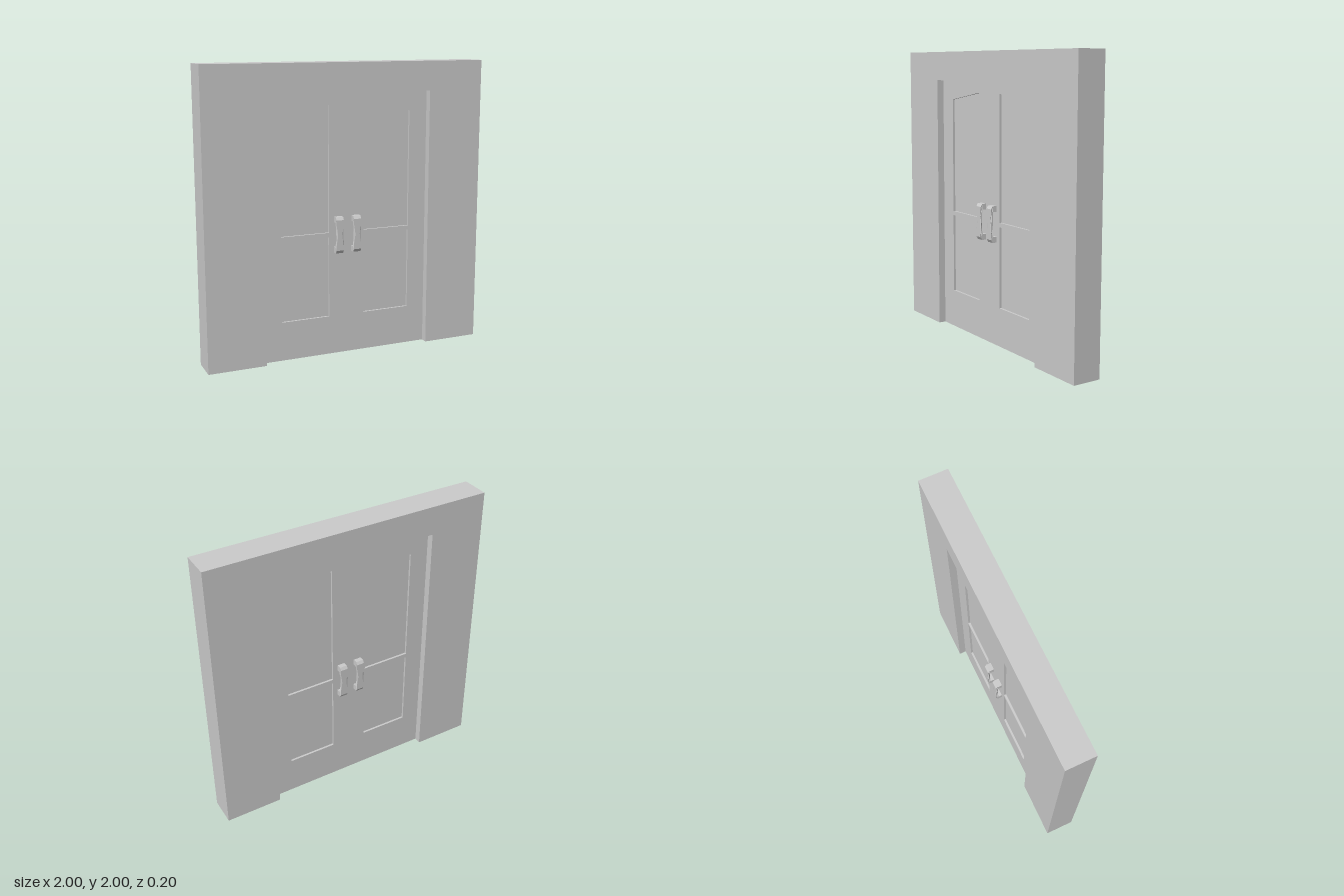
import * as THREE from 'three';

const material = new THREE.MeshStandardMaterial({ color: 0xcccccc, flatShading: true });
const toVectors = (points) => points.map(([x, y]) => new THREE.Vector2(x, y));

// Flat outline with optional holes, extruded symmetrically about z = 0
function slab(name, outline, depth, holes = []) {
  const shape = new THREE.Shape(toVectors(outline));
  shape.holes = holes.map((hole) => new THREE.Path(toVectors(hole)));
  const geometry = new THREE.ExtrudeGeometry(shape, { depth, bevelEnabled: false });
  geometry.translate(0, 0, -depth / 2);
  const mesh = new THREE.Mesh(geometry, material);
  mesh.name = name;
  return mesh;
}

// Pull handle: side profile extruded across x, then narrowed to a waist
function handleGeometry() {
  const bottom = 0.72, top = 0.97, middle = (bottom + top) / 2;
  const outer = [[0.05, bottom], [0.083, bottom], [0.095, 0.74]];
  const inner = [];
  const rows = 8;
  for (let i = 0; i <= rows; i++) {
    const y = 0.76 + (0.17 * i) / rows;
    outer.push([0.095, y]);
    inner.unshift([0.077, y]);
  }
  outer.push([0.095, 0.95], [0.083, top], [0.05, top], [0.05, 0.93]);
  const profile = new THREE.Shape(toVectors([...outer, ...inner, [0.05, 0.76]]));
  const geometry = new THREE.ExtrudeGeometry(profile, { depth: 0.054, bevelEnabled: false });
  geometry.translate(0, 0, -0.027).rotateY(-Math.PI / 2);
  const p = geometry.attributes.position;
  for (let i = 0; i < p.count; i++) {
    const t = Math.min(1, Math.abs(p.getY(i) - middle) / 0.085);
    const waist = 0.6 + 0.2 * (1 - Math.cos(Math.PI * t));
    p.setX(i, p.getX(i) * waist);
  }
  geometry.computeVertexNormals();
  return geometry;
}

export function createModel() {
  const group = new THREE.Group();
  group.name = 'doubleDoorInWall';

  // Wall with the doorway cut out of its lower edge
  group.add(slab('wall', [
    [-1, 0], [-0.6, 0], [-0.6, 1.8], [0.6, 1.8], [0.6, 0], [1, 0], [1, 2], [-1, 2],
  ], 0.2));

  // Recessed panels, slanted along the top of the upper pair
  const lower = [[0.127, 0.27], [0.47, 0.27], [0.47, 0.83], [0.127, 0.83]];
  const upper = [[0.127, 0.86], [0.47, 0.86], [0.47, 1.665], [0.127, 1.72]];
  const panels = [];
  for (const side of [1, -1]) {
    for (const panel of [lower, upper]) panels.push(panel.map(([x, y]) => [side * x, y]));
  }

  // Door frame with the panels set into its openings
  group.add(slab('doorFrame', [[-0.6, 0], [0.6, 0], [0.6, 1.8], [-0.6, 1.8]], 0.1, panels));
  panels.forEach((panel, i) => {
    group.add(slab(`${i < 2 ? 'left' : 'right'}${i % 2 ? 'Upper' : 'Lower'}Panel`, panel, 0.07));
  });

  // A pair of handles on each face
  const geometry = handleGeometry();
  for (const face of ['front', 'back']) {
    const pair = new THREE.Group();
    pair.name = `${face}Handles`;
    for (const x of [-0.064, 0.064]) {
      const handle = new THREE.Mesh(geometry, material);
      handle.name = 'handle';
      handle.position.x = x;
      pair.add(handle);
    }
    if (face === 'back') pair.rotation.y = Math.PI;
    group.add(pair);
  }
  return group;
}
